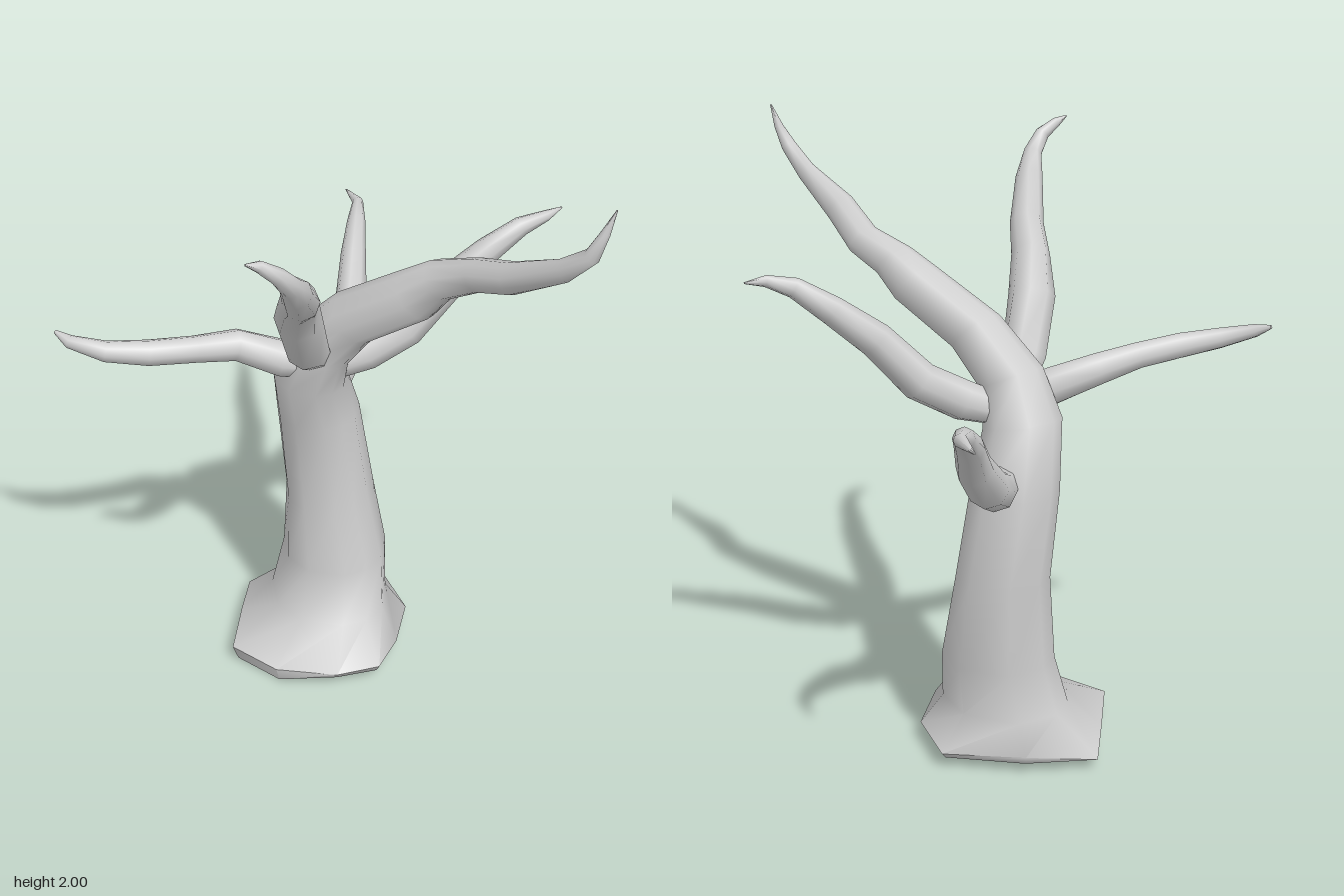
import * as THREE from 'three';
import { toCreasedNormals } from 'three/addons/utils/BufferGeometryUtils.js';

const V = (x, y, z) => new THREE.Vector3(x, y, z);

// Skin a list of equal-length rings and close both ends.
function loft(rings) {
  const n = rings[0].length, pos = [], idx = [];
  rings.forEach(r => r.forEach(p => pos.push(p.x, p.y, p.z)));
  for (let i = 0; i < rings.length - 1; i++) {
    for (let j = 0; j < n; j++) {
      const a = i * n + j, b = i * n + (j + 1) % n;
      idx.push(a, a + n, b, a + n, b + n, b);
    }
  }
  const cap = (ring, first, top) => {
    const c = ring.reduce((s, p) => s.add(p), V(0, 0, 0)).divideScalar(n);
    const k = pos.length / 3;
    pos.push(c.x, c.y, c.z);
    for (let j = 0; j < n; j++) {
      const a = first + j, b = first + (j + 1) % n;
      idx.push(k, top ? b : a, top ? a : b);
    }
  };
  cap(rings[0], 0, false);
  cap(rings[rings.length - 1], (rings.length - 1) * n, true);
  const g = new THREE.BufferGeometry();
  g.setAttribute('position', new THREE.Float32BufferAttribute(pos, 3));
  g.setIndex(idx);
  return toCreasedNormals(g, 1.15);
}

// Tapered limb through points [x, y, z, radius].
function limb(path, sides = 8) {
  const pts = path.map(p => V(p[0], p[1], p[2]));
  const rings = pts.map((p, i) => {
    const t = pts[Math.min(i + 1, pts.length - 1)].clone().sub(pts[Math.max(i - 1, 0)]).normalize();
    const u = t.clone().cross(V(0, 1, 0)).normalize();
    const v = u.clone().cross(t);
    return Array.from({ length: sides }, (_, j) => {
      const a = j / sides * Math.PI * 2, r = path[i][3];
      return p.clone().addScaledVector(u, r * Math.cos(a)).addScaledVector(v, r * Math.sin(a));
    });
  });
  return loft(rings);
}

export function createModel() {
  const bark = new THREE.MeshStandardMaterial({ color: 0xcccccc });
  bark.name = 'bark';
  const tree = new THREE.Group();
  tree.name = 'bareTree';
  const add = (name, geometry) => {
    const m = new THREE.Mesh(geometry, bark);
    m.name = name;
    tree.add(m);
  };

  // Irregular root flare: rim points [x, y, z] with a slightly inset underside
  const rim = [
    [0.09, 0.07, 0.1], [0, 0.06, 0.22], [-0.18, 0.06, 0.34], [-0.37, 0.07, 0.365], [-0.5, 0.06, 0.19],
    [-0.6, 0.04, 0.05], [-0.46, 0.07, -0.14], [-0.24, 0.06, -0.3], [-0.05, 0.06, -0.21], [0.05, 0.07, -0.04],
  ];
  const underY = [0.04, 0.035, 0.0, 0.01, 0.04, 0.035, 0.04, 0.04, 0.04, 0.04];
  const middle = V(-0.24, 0, 0.03);
  const rimRing = rim.map(p => V(...p));
  const underRing = rimRing.map((p, i) => p.clone().lerp(middle, 0.05).setY(underY[i]));
  const angles = rim.map(p => Math.atan2(p[2] - middle.z, p[0] - middle.x));

  // Trunk bending over into the leading branch: [x, y, z, rx, rz, lean]
  const sections = [
    [-0.245, 0.17, -0.01, 0.22, 0.195, 0],
    [-0.255, 0.35, -0.055, 0.188, 0.18, 0],
    [-0.26, 0.62, -0.04, 0.147, 0.16, 0],
    [-0.3, 0.93, -0.035, 0.142, 0.14, 0],
    [-0.265, 1.12, 0.035, 0.125, 0.128, 0.2],
    [-0.215, 1.25, 0.035, 0.11, 0.1, 0.45],
    [-0.1, 1.38, 0, 0.092, 0.088, 0.8],
    [0.1, 1.51, -0.065, 0.085, 0.08, 0.9],
    [0.17, 1.575, -0.09, 0.065, 0.07, 0.9],
    [0.29, 1.625, -0.11, 0.052, 0.06, 1.1],
    [0.45, 1.695, -0.06, 0.048, 0.056, 1.15],
    [0.63, 1.79, -0.052, 0.035, 0.028, 1.0],
    [0.715, 1.865, -0.052, 0.024, 0.026, 0.7],
    [0.735, 1.93, -0.075, 0.014, 0.016, 0.3],
    [0.755, 2.0, -0.09, 0.002, 0.003, 0.2],
  ];
  const trunkRings = sections.map(([x, y, z, rx, rz, lean]) => angles.map(a => V(
    x + rx * Math.cos(a) * Math.cos(lean),
    y - rx * Math.cos(a) * Math.sin(lean),
    z + rz * Math.sin(a))));
  add('trunk', loft([underRing, rimRing, ...trunkRings]));

  // Side branches, each rooted inside the trunk
  const branches = {
    frontLeftBranch: [
      [-0.22, 1.22, 0.04, 0.06], [-0.18, 1.29, 0.13, 0.072], [-0.13, 1.46, 0.22, 0.075], [-0.06, 1.57, 0.29, 0.062],
      [0.03, 1.645, 0.37, 0.055], [0.13, 1.765, 0.49, 0.045], [0.175, 1.83, 0.555, 0.032],
      [0.18, 1.89, 0.61, 0.024], [0.155, 1.925, 0.65, 0.017], [0.145, 1.943, 0.69, 0.003],
    ],
    frontRightBranch: [
      [-0.23, 1.18, 0.05, 0.05], [-0.29, 1.215, 0.14, 0.062], [-0.39, 1.27, 0.24, 0.053], [-0.44, 1.295, 0.37, 0.044],
      [-0.51, 1.315, 0.5, 0.042], [-0.59, 1.335, 0.6, 0.034], [-0.68, 1.365, 0.665, 0.021], [-0.73, 1.385, 0.675, 0.006],
    ],
    backRightBranch: [
      [-0.28, 0.95, -0.06, 0.05], [-0.35, 0.975, -0.18, 0.068], [-0.415, 1.03, -0.28, 0.065], [-0.455, 1.13, -0.38, 0.056],
      [-0.54, 1.245, -0.49, 0.044], [-0.605, 1.315, -0.58, 0.032], [-0.66, 1.342, -0.65, 0.02], [-0.755, 1.343, -0.695, 0.003],
    ],
    backLeftBranch: [
      [-0.21, 1.15, 0, 0.05], [-0.14, 1.19, -0.1, 0.065], [-0.06, 1.26, -0.21, 0.064], [0.015, 1.4, -0.32, 0.056],
      [0.085, 1.5, -0.43, 0.045], [0.15, 1.575, -0.52, 0.032], [0.195, 1.6, -0.59, 0.018], [0.205, 1.605, -0.66, 0.003],
    ],
  };
  for (const [name, path] of Object.entries(branches)) add(name, limb(path));

  return tree;
}
